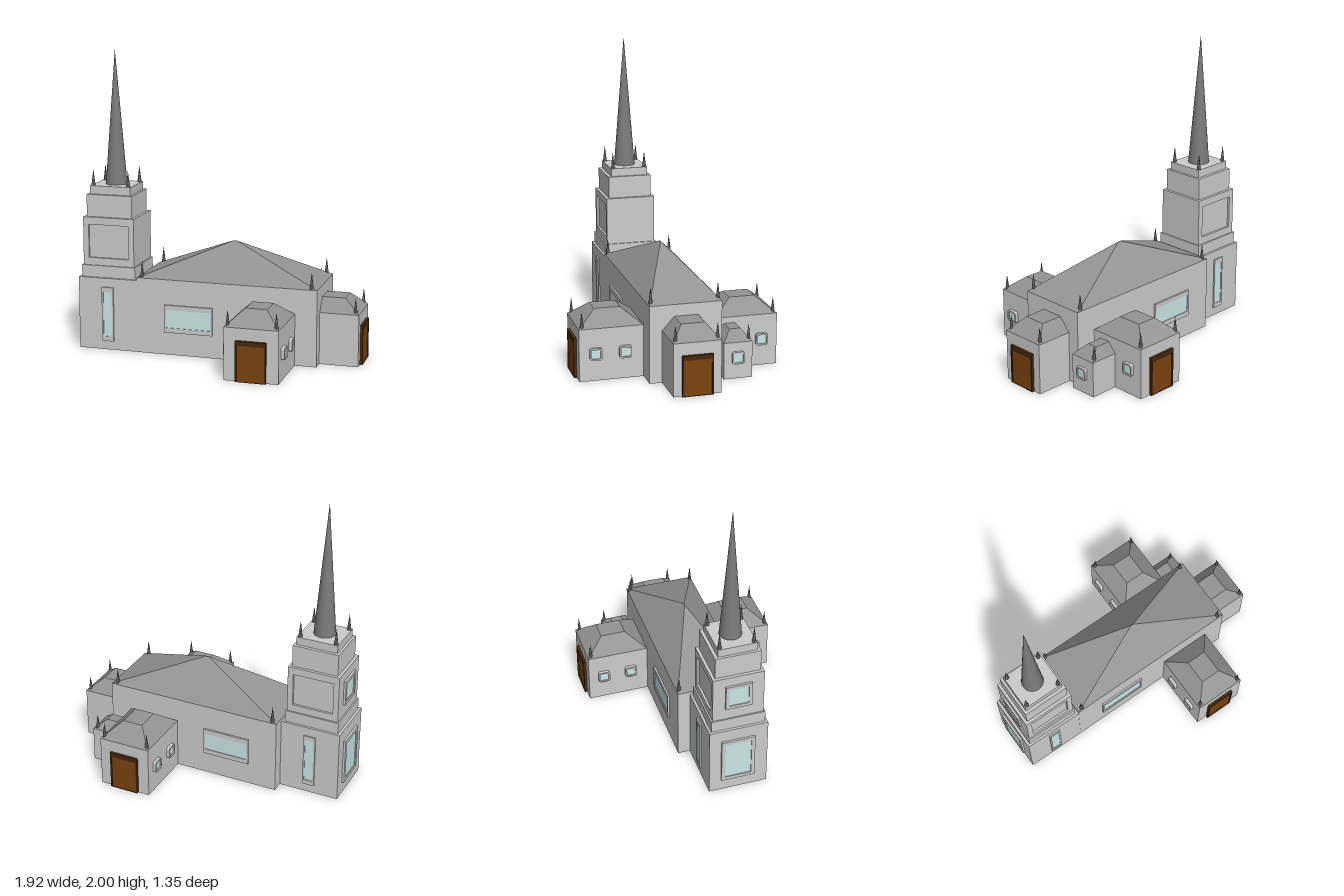
import * as THREE from 'three';

const mat = (color) => new THREE.MeshStandardMaterial({ color });
const WALL = mat(0xcccccc), ROOF = mat(0x949494), SPIRE = mat(0x7c7c7c), PINNACLE = mat(0x585858);
const GLASS = mat(0xcbe7e7), DOOR = mat(0x7a4310), DOOR_FRAME = mat(0x472a10);

function add(parent, name, geometry, material, x = 0, y = 0, z = 0) {
  const mesh = new THREE.Mesh(geometry, material);
  mesh.name = name;
  mesh.position.set(x, y, z);
  parent.add(mesh);
  return mesh;
}

// Box given by its extents
function block(parent, name, x0, x1, y0, y1, z0, z1, material = WALL) {
  return add(parent, name, new THREE.BoxGeometry(x1 - x0, y1 - y0, z1 - z0), material,
    (x0 + x1) / 2, (y0 + y1) / 2, (z0 + z1) / 2);
}

// Hipped roof: a box whose top corners move in to a smaller rectangle
function hipRoof(parent, name, [x0, x1, z0, z1], y0, y1, [tx0, tx1, tz0, tz1]) {
  const indexed = new THREE.BoxGeometry(1, 1, 1);
  const geo = indexed.toNonIndexed();
  const p = geo.attributes.position;
  for (let i = 0; i < p.count; i++) {
    const top = p.getY(i) > 0, right = p.getX(i) > 0, front = p.getZ(i) > 0;
    if (top) p.setXYZ(i, right ? tx1 : tx0, y1, front ? tz1 : tz0);
    else p.setXYZ(i, right ? x1 : x0, y0, front ? z1 : z0);
  }
  geo.computeVertexNormals();
  return add(parent, name, geo, ROOF);
}

function pinnacle(parent, x, y, z, h = 0.11) {
  add(parent, 'pinnacle', new THREE.ConeGeometry(0.014, h, 12), PINNACLE, x, y + h / 2, z);
}

// Rectangle path with optional rounded corners
function rect(path, w, h, r = 0, cy = 0) {
  const a = w / 2, b = h / 2;
  if (!r) {
    path.moveTo(-a, cy - b).lineTo(a, cy - b).lineTo(a, cy + b).lineTo(-a, cy + b).closePath();
    return path;
  }
  path.moveTo(-a + r, cy - b).lineTo(a - r, cy - b);
  path.absarc(a - r, cy - b + r, r, -Math.PI / 2, 0);
  path.absarc(a - r, cy + b - r, r, 0, Math.PI / 2);
  path.absarc(-a + r, cy + b - r, r, Math.PI / 2, Math.PI);
  path.absarc(-a + r, cy - b + r, r, Math.PI, Math.PI * 1.5);
  return path;
}

// Flat frame standing out along +z
function frameGeometry(w, h, iw, ih, depth, r = 0, holeY = 0) {
  const shape = rect(new THREE.Shape(), w, h, r);
  shape.holes.push(rect(new THREE.Path(), iw, ih, r * 0.6, holeY));
  return new THREE.ExtrudeGeometry(shape, { depth, bevelEnabled: false, curveSegments: 4 });
}

// Group mounted on a wall; turn rotates its outward side away from +z
function mount(parent, name, x, y, z, turn) {
  const g = new THREE.Group();
  g.name = name;
  g.position.set(x, y, z);
  g.rotation.y = turn;
  parent.add(g);
  return g;
}

function windowOn(parent, x, y, z, turn, w, h, iw, ih, depth, r = 0) {
  const g = mount(parent, 'window', x, y, z, turn);
  add(g, 'windowFrame', frameGeometry(w, h, iw, ih, depth, r), WALL);
  add(g, 'windowPane', new THREE.BoxGeometry(iw, ih, depth * 0.6), GLASS, 0, 0, depth * 0.3);
}

function doorOn(parent, x, z, turn) {
  const g = mount(parent, 'door', x, 0.1325, z, turn);
  add(g, 'doorFrame', frameGeometry(0.2, 0.265, 0.18, 0.235, 0.018, 0, -0.0145), DOOR_FRAME);
  add(g, 'doorPanel', new THREE.BoxGeometry(0.18, 0.235, 0.011), DOOR, 0, -0.0145, 0.0055);
}

const FRONT = 0, BACK = Math.PI, LEFT = Math.PI / 2, RIGHT = -Math.PI / 2;

function buildNave(root) {
  const g = mount(root, 'nave', 0, 0, 0, 0);
  block(g, 'naveWalls', -0.54, 0.685, 0, 0.51, -0.237, 0.237);
  hipRoof(g, 'naveRoof', [-0.54, 0.685, -0.237, 0.237], 0.51, 0.75, [0.06, 0.085, -0.002, 0.002]);
  for (const x of [-0.505, 0.645]) for (const z of [-0.22, 0.22]) pinnacle(g, x, 0.515, z);
  windowOn(g, -0.18, 0.247, 0.237, FRONT, 0.33, 0.187, 0.305, 0.122, 0.012);
  windowOn(g, -0.18, 0.247, -0.237, BACK, 0.33, 0.187, 0.305, 0.122, 0.012);
}

function buildTower(root) {
  const g = mount(root, 'tower', -0.745, 0, 0.04, 0);
  // Stepped tiers: width, depth, bottom, top
  const tiers = [[0.41, 0.392, 0, 0.49], [0.374, 0.36, 0.49, 0.57], [0.356, 0.31, 0.57, 0.895],
    [0.316, 0.3, 0.895, 1.045], [0.282, 0.257, 1.045, 1.1]];
  for (const [w, d, y0, y1] of tiers) block(g, 'towerTier', -w / 2, w / 2, y0, y1, -d / 2, d / 2);

  // Recessed panels on the belfry's front and back
  for (const [z, turn] of [[0.155, FRONT], [-0.155, BACK]]) {
    const m = mount(g, 'belfryPanel', 0, 0.7325, z, turn);
    add(m, 'panelSurround', frameGeometry(0.356, 0.325, 0.28, 0.225, 0.015), WALL);
  }
  // Tall front and back windows, broad outer windows
  windowOn(g, 0, 0.245, 0.196, FRONT, 0.082, 0.37, 0.06, 0.305, 0.01);
  windowOn(g, 0, 0.245, -0.196, BACK, 0.082, 0.37, 0.06, 0.305, 0.01);
  windowOn(g, -0.205, 0.245, -0.005, RIGHT, 0.225, 0.32, 0.175, 0.27, 0.015);
  windowOn(g, -0.178, 0.743, 0, RIGHT, 0.175, 0.175, 0.13, 0.13, 0.015);

  add(g, 'spire', new THREE.ConeGeometry(0.072, 0.9, 32), SPIRE, 0, 1.55, 0);
  for (const x of [-0.122, 0.122]) for (const z of [-0.112, 0.112]) pinnacle(g, x, 1.1, z);
}

// Front and back wings, mirrored through side
function buildTransept(root, side) {
  const g = mount(root, side > 0 ? 'frontTransept' : 'backTransept', 0, 0, 0, 0);
  const span = (a, b) => (side > 0 ? [a, b] : [-b, -a]);
  block(g, 'transeptWalls', 0.185, 0.54, 0, 0.345, ...span(0.23, 0.656));
  hipRoof(g, 'transeptRoof', [0.185, 0.54, ...span(0.237, 0.656)], 0.345, 0.443,
    [0.293, 0.432, ...span(0.365, 0.533)]);
  for (const x of [0.205, 0.52]) pinnacle(g, x, 0.345, side * 0.633);
  for (const z of [0.358, 0.55]) {
    windowOn(g, 0.54, 0.18, side * z, LEFT, 0.08, 0.08, 0.06, 0.06, 0.022, 0.014);
    windowOn(g, 0.185, 0.18, side * z, RIGHT, 0.08, 0.08, 0.06, 0.06, 0.022, 0.014);
  }
  doorOn(g, 0.362, side * 0.656, side > 0 ? FRONT : BACK);
}

function buildEndPorch(root) {
  const g = mount(root, 'endPorch', 0, 0, 0, 0);
  block(g, 'porchWalls', 0.68, 0.942, 0, 0.345, -0.155, 0.155);
  hipRoof(g, 'porchRoof', [0.68, 0.942, -0.155, 0.155], 0.345, 0.433, [0.68, 0.838, -0.077, 0.077]);
  for (const z of [-0.135, 0.135]) pinnacle(g, 0.916, 0.345, z);
  doorOn(g, 0.942, 0, LEFT);
}

// Small room in the back corner
function buildVestry(root) {
  const g = mount(root, 'vestry', 0, 0, 0, 0);
  block(g, 'vestryWalls', 0.53, 0.733, 0, 0.24, -0.425, -0.237);
  hipRoof(g, 'vestryRoof', [0.53, 0.733, -0.425, -0.237], 0.24, 0.305, [0.53, 0.652, -0.37, -0.297]);
  pinnacle(g, 0.706, 0.24, -0.407);
  windowOn(g, 0.733, 0.14, -0.33, LEFT, 0.08, 0.08, 0.06, 0.06, 0.02, 0.014);
}

export function createModel() {
  const root = new THREE.Group();
  root.name = 'church';
  buildNave(root);
  buildTower(root);
  buildTransept(root, 1);
  buildTransept(root, -1);
  buildEndPorch(root);
  buildVestry(root);
  return root;
}
